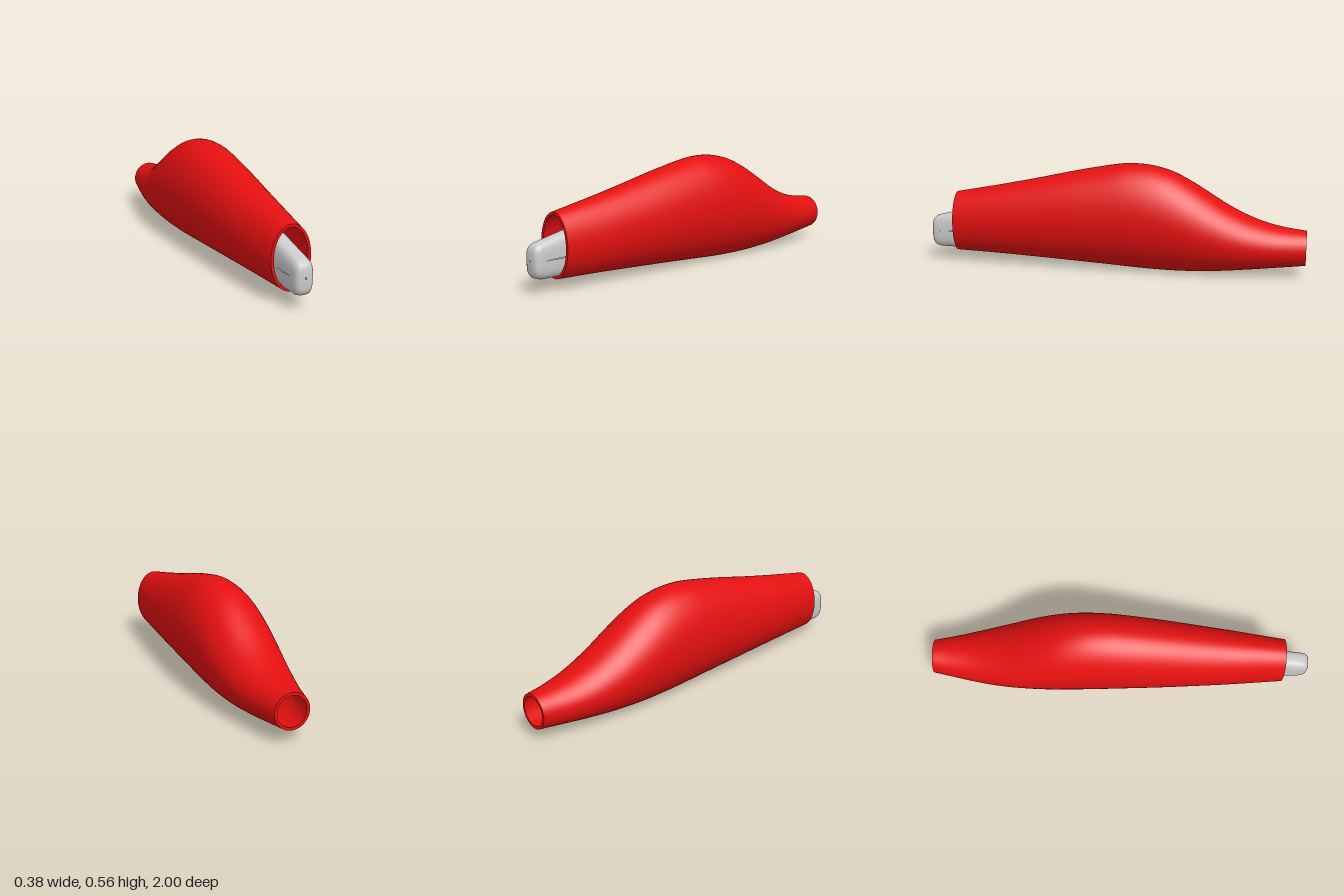
import * as THREE from 'three';
import { mergeGeometries } from 'three/addons/utils/BufferGeometryUtils.js';

const red = new THREE.MeshStandardMaterial({ color: 0xe41010 });
red.name = 'red rubber';
const grey = new THREE.MeshStandardMaterial({ color: 0xcbcbcb, side: THREE.DoubleSide });
grey.name = 'light grey metal';

// Skins a list of rings of points; rings running from +z to -z face outward
function loft(rings, closed) {
  const n = rings[0].length;
  const index = [];
  for (let i = 0; i < rings.length - 1; i++) {
    for (let j = 0; j < (closed ? n : n - 1); j++) {
      const k = (j + 1) % n;
      const a = i * n + j, b = a + n, c = (i + 1) * n + k, d = i * n + k;
      index.push(a, b, d, b, c, d);
    }
  }
  const g = new THREE.BufferGeometry();
  g.setAttribute('position', new THREE.Float32BufferAttribute(rings.flat(2), 3));
  g.setIndex(index);
  g.computeVertexNormals();
  return g;
}

// Upright ellipse at depth z
function ellipse(z, top, bottom, halfWidth, inset = 0, n = 64) {
  return Array.from({ length: n }, (_, j) => {
    const a = (j / n) * Math.PI * 2;
    return [
      (halfWidth - inset) * Math.cos(a),
      (top + bottom) / 2 + ((top - bottom) / 2 - inset) * Math.sin(a),
      z,
    ];
  });
}

// Hollow tapering sleeve with a hump
function makeSleeve() {
  // z, top, bottom, half width
  const stations = [
    [0.86, 0.375, 0.053, 0.103], [0.6, 0.425, 0.045, 0.133], [0.4, 0.467, 0.036, 0.152],
    [0.2, 0.512, 0.026, 0.169], [0, 0.55, 0.015, 0.182], [-0.1, 0.559, 0.009, 0.187],
    [-0.2, 0.552, 0.004, 0.19], [-0.3, 0.526, 0.002, 0.19], [-0.4, 0.478, 0.003, 0.187],
    [-0.5, 0.418, 0.008, 0.179], [-0.6, 0.357, 0.016, 0.167], [-0.7, 0.308, 0.027, 0.151],
    [-0.8, 0.273, 0.038, 0.131], [-0.9, 0.252, 0.049, 0.109], [-1, 0.24, 0.06, 0.088],
  ];
  const heights = new THREE.CatmullRomCurve3(
    stations.map(([z, t, b]) => new THREE.Vector3(t, b, z)), false, 'catmullrom');
  const widths = new THREE.CatmullRomCurve3(
    stations.map(([z, , , w]) => new THREE.Vector3(w, 0, z)), false, 'catmullrom');
  const outer = [], inner = [];
  for (let i = 0; i <= 70; i++) {
    const h = heights.getPoint(i / 70), w = widths.getPoint(i / 70).x;
    outer.push(ellipse(h.z, h.x, h.y, w));
    inner.push(ellipse(h.z, h.x, h.y, w, 0.015));
  }
  const geometry = mergeGeometries([
    loft(outer, true),
    loft([inner[0], outer[0]], true), // front rim
    loft([outer[70], inner[70]], true), // back rim
    loft([...inner].reverse(), true),
  ]);
  const mesh = new THREE.Mesh(geometry, red);
  mesh.name = 'sleeve';
  return mesh;
}

// Folded sheet channel; rows are z, open edge y, crown y, half width
function makeJaw(name, rows) {
  const rings = rows.map(([z, edge, crown, w]) => {
    const ring = Array.from({ length: 25 }, (_, j) => {
      const a = (j / 24) * Math.PI;
      const c = Math.cos(a), s = Math.max(0, Math.sin(a));
      return [w * Math.sign(c) * Math.abs(c) ** 0.62, edge + (crown - edge) * s ** 0.62, z];
    });
    return crown > edge ? ring : ring.reverse();
  });
  const mesh = new THREE.Mesh(loft(rings, false), grey);
  mesh.name = name;
  return mesh;
}

export function createModel() {
  const model = new THREE.Group();
  model.name = 'insulatedClip';
  model.add(makeSleeve());

  const clip = new THREE.Group();
  clip.name = 'clip';
  clip.add(makeJaw('upperJaw', [
    [1, 0.162, 0.166, 0.003], [0.999, 0.162, 0.205, 0.028], [0.993, 0.162, 0.224, 0.039],
    [0.98, 0.162, 0.236, 0.046], [0.955, 0.162, 0.245, 0.049], [0.86, 0.165, 0.266, 0.051],
    [0.6, 0.178, 0.32, 0.062], [0.2, 0.185, 0.4, 0.112], [-0.2, 0.185, 0.43, 0.13],
  ]));
  clip.add(makeJaw('lowerJaw', [
    [1, 0.162, 0.158, 0.003], [0.999, 0.162, 0.108, 0.028], [0.993, 0.162, 0.09, 0.039],
    [0.98, 0.162, 0.077, 0.046], [0.955, 0.162, 0.07, 0.049], [0.86, 0.162, 0.069, 0.051],
    [0.6, 0.158, 0.069, 0.062], [0.2, 0.155, 0.068, 0.112], [-0.2, 0.155, 0.06, 0.13],
  ]));

  // Teeth along both edges of the jaws
  const toothShape = new THREE.ConeGeometry(0.014, 0.035, 4);
  for (const side of [-1, 1]) {
    for (let i = 0; i < 10; i++) {
      const z = 0.62 - i * 0.03;
      const tooth = new THREE.Mesh(toothShape, grey);
      tooth.name = 'tooth';
      tooth.position.set(side * (0.062 + (0.6 - z) * 0.125), 0.17, z);
      if (i % 2) tooth.rotation.z = Math.PI;
      clip.add(tooth);
    }
  }
  model.add(clip);
  return model;
}
